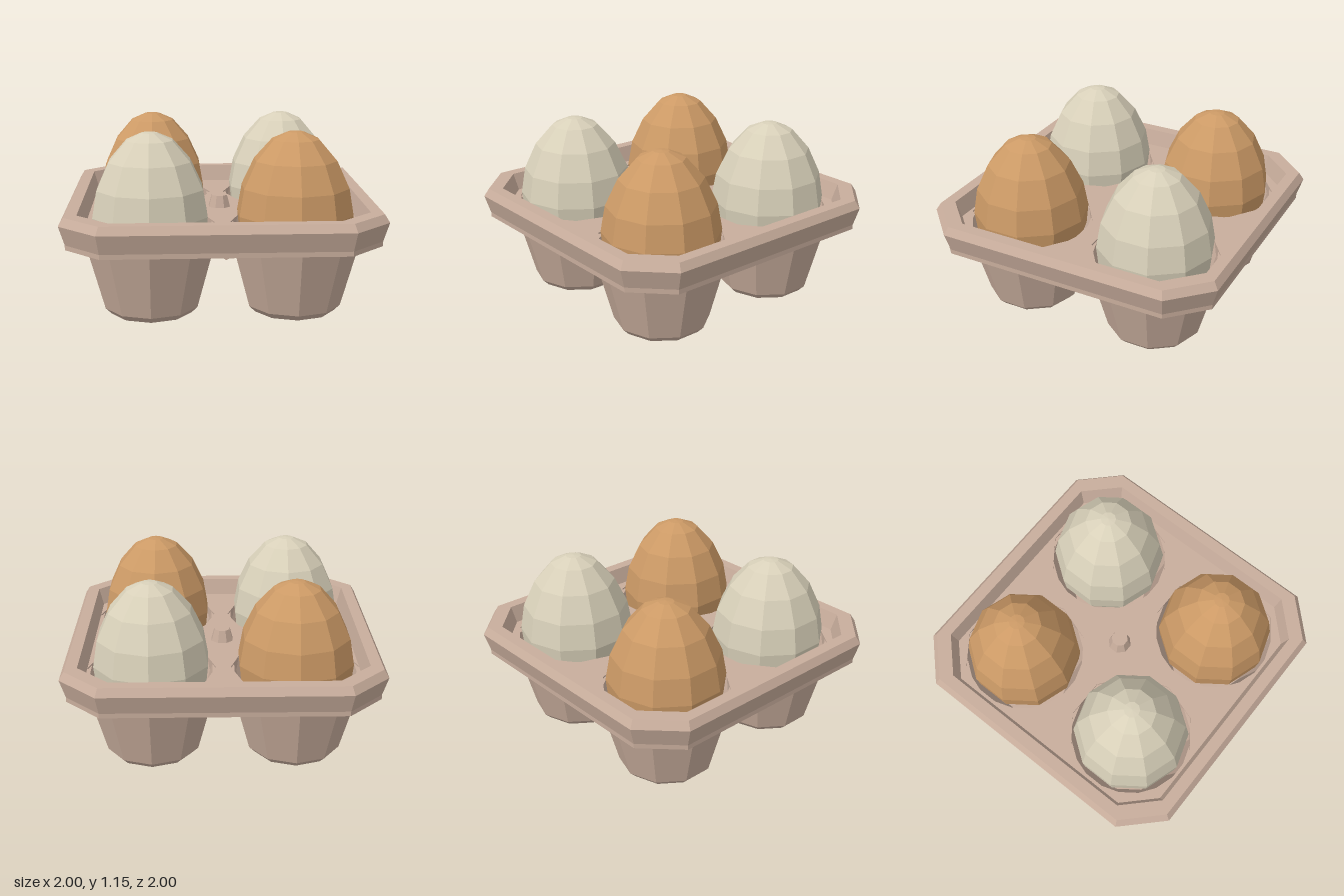
import * as THREE from 'three';

// Corners of a chamfered square: half width h, straight edges end at c
const octagon = (h, c) => [[-c, h], [c, h], [h, c], [h, -c], [c, -h], [-c, -h], [-h, -c], [-h, c]];

// Closed ring lofted through chamfered squares given as [h, c, y]
function loftRing(profile) {
  const pos = [], idx = [], n = profile.length;
  for (const [h, c, y] of profile) for (const [x, z] of octagon(h, c)) pos.push(x, y, z);
  for (let i = 0; i < n; i++) {
    for (let j = 0; j < 8; j++) {
      const a = i * 8 + j, b = i * 8 + (j + 1) % 8;
      const k = ((i + 1) % n) * 8, e = k + j, d = k + (j + 1) % 8;
      idx.push(a, b, d, a, d, e);
    }
  }
  const g = new THREE.BufferGeometry();
  g.setAttribute('position', new THREE.Float32BufferAttribute(pos, 3));
  g.setIndex(idx);
  g.computeVertexNormals();
  return g;
}

const lathe = (pts, sides) => new THREE.LatheGeometry(pts.map(([r, y]) => new THREE.Vector2(r, y)), sides);

export function createModel() {
  const group = new THREE.Group();
  const mat = (name, color) => new THREE.MeshStandardMaterial({ name, color, flatShading: true });
  const card = mat('cardboard', 0xc8ad9c);
  const brown = mat('brownShell', 0xcc9a66);
  const cream = mat('creamShell', 0xd8d0b9);

  const add = (name, geo, material, x = 0, y = 0, z = 0) => {
    const m = new THREE.Mesh(geo, material);
    m.name = name;
    m.position.set(x, y, z);
    group.add(m);
    return m;
  };

  // Raised rim around the tray
  add('rim', loftRing([
    [0.965, 0.745, 0.48], [0.965, 0.745, 0.51], [1, 0.76, 0.63], [0.97, 0.745, 0.68],
    [0.895, 0.69, 0.68], [0.86, 0.67, 0.56], [0.86, 0.67, 0.48],
  ]), card);

  // Deck with a ten-sided hole over each cup
  const C = 0.455;
  const corners = [[-C, -C], [C, -C], [-C, C], [C, C]];
  const deck = new THREE.Shape(octagon(0.88, 0.68).map(([x, y]) => new THREE.Vector2(x, y)));
  for (const [x, y] of corners) {
    const pts = [];
    for (let i = 0; i < 10; i++) {
      const a = i * Math.PI / 5;
      pts.push(new THREE.Vector2(x + 0.408 * Math.cos(a), y + 0.408 * Math.sin(a)));
    }
    deck.holes.push(new THREE.Path(pts));
  }
  const deckGeo = new THREE.ExtrudeGeometry(deck, { depth: 0.07, bevelEnabled: false });
  deckGeo.rotateX(-Math.PI / 2);
  add('deck', deckGeo, card, 0, 0.5, 0);

  // Cups with a wall thickness, and an egg in each
  const cupGeo = lathe([
    [0, 0], [0.265, 0], [0.305, 0.04], [0.425, 0.48], [0.44, 0.56],
    [0.405, 0.56], [0.28, 0.07], [0, 0.05],
  ], 10);
  const eggGeo = lathe([
    [0, 0.12], [0.12, 0.15], [0.23, 0.24], [0.31, 0.36], [0.36, 0.49], [0.375, 0.63],
    [0.345, 0.8], [0.265, 0.97], [0.15, 1.1], [0.05, 1.145], [0, 1.15],
  ], 10);
  for (const [x, z] of corners) {
    add('cup', cupGeo, card, x, 0, z);
    add('egg', eggGeo, x * z > 0 ? brown : cream, x, 0, z);
  }

  // Centre post and the two ribs crossing beneath the deck
  add('centrePost', new THREE.CylinderGeometry(0.055, 0.11, 0.2, 8), card, 0, 0.55, 0).rotation.y = Math.PI / 8;
  const ribGeo = new THREE.CylinderGeometry(0.028, 0.028, 1.78, 6);
  add('rib', ribGeo, card, 0, 0.475, 0).rotation.x = Math.PI / 2;
  add('rib', ribGeo, card, 0, 0.475, 0).rotation.z = Math.PI / 2;

  return group;
}
